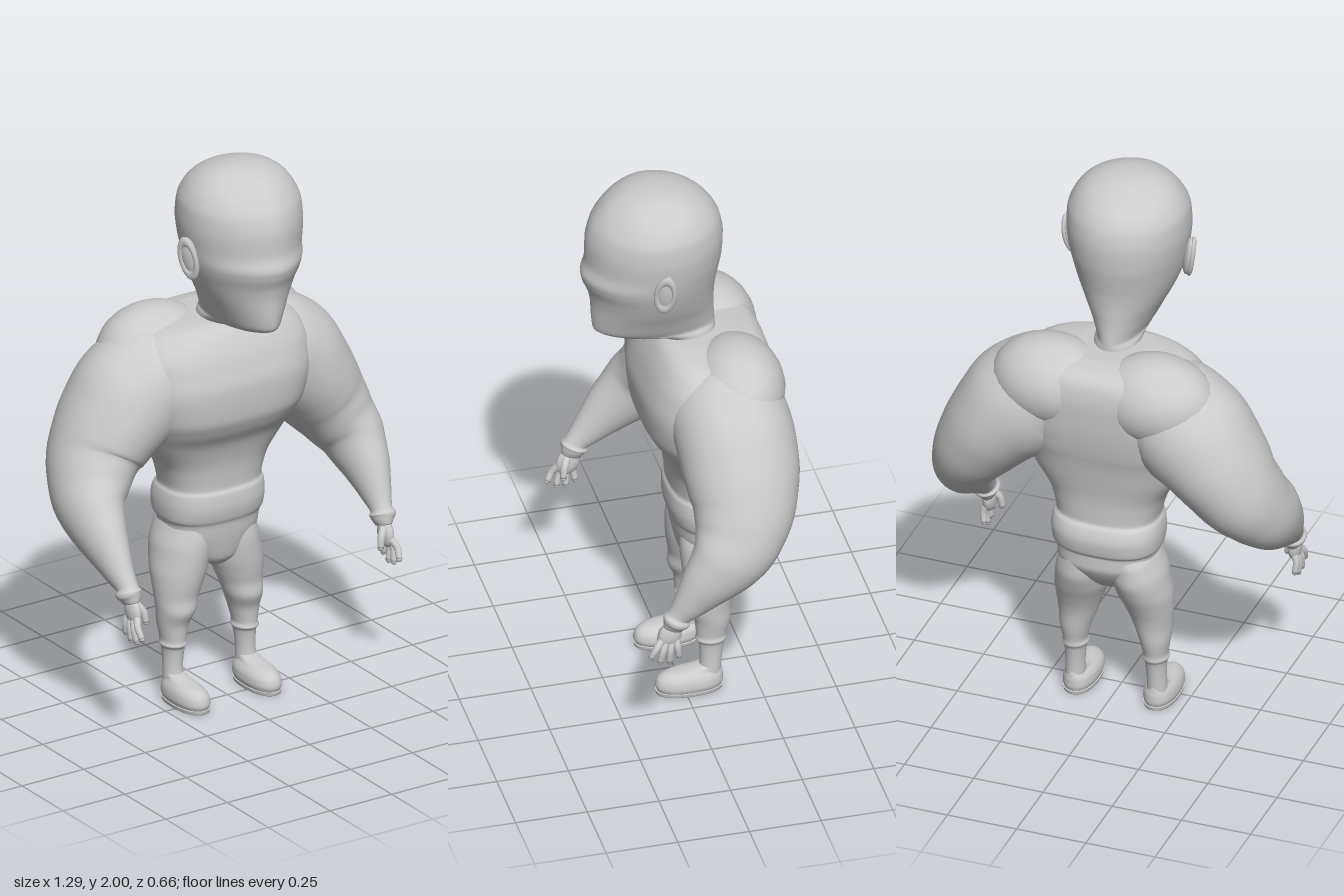
import * as THREE from 'three';

const material = new THREE.MeshStandardMaterial({ color: 0xcccccc });
const SEG = 40;

// Overshoot-free smoothing between key rows of numbers
function smoothRows(rows, steps = 5) {
  const slope = (i, k) => {
    if (i === 0) return rows[1][k] - rows[0][k];
    if (i === rows.length - 1) return rows[i][k] - rows[i - 1][k];
    const a = rows[i][k] - rows[i - 1][k], b = rows[i + 1][k] - rows[i][k];
    return a * b > 0 ? (2 * a * b) / (a + b) : 0;
  };
  const out = [];
  for (let i = 0; i < rows.length - 1; i++) {
    for (let s = 0; s < steps; s++) {
      const t = s / steps, t2 = t * t, t3 = t2 * t;
      out.push(rows[i].map((v, k) =>
        v * (2 * t3 - 3 * t2 + 1) + rows[i + 1][k] * (3 * t2 - 2 * t3) +
        slope(i, k) * (t3 - 2 * t2 + t) + slope(i + 1, k) * (t3 - t2)));
    }
  }
  out.push(rows[rows.length - 1]);
  return out;
}

// Skin over closed rings of points, with both ends capped
function skin(rings) {
  const pos = [], index = [], n = rings[0].length, last = rings.length - 1;
  rings.forEach(r => r.forEach(p => pos.push(p.x, p.y, p.z)));
  for (let i = 0; i < last; i++) {
    for (let j = 0; j < n; j++) {
      const a = i * n + j, b = i * n + (j + 1) % n;
      index.push(a, b, b + n, a, b + n, a + n);
    }
  }
  [0, last].forEach(i => {
    const c = new THREE.Vector3();
    rings[i].forEach(p => c.addScaledVector(p, 1 / n));
    const ci = pos.length / 3;
    pos.push(c.x, c.y, c.z);
    for (let j = 0; j < n; j++) {
      const a = i * n + j, b = i * n + (j + 1) % n;
      if (i === 0) index.push(ci, b, a); else index.push(ci, a, b);
    }
  });
  const g = new THREE.BufferGeometry();
  g.setAttribute('position', new THREE.Float32BufferAttribute(pos, 3));
  g.setIndex(index);
  g.computeVertexNormals();
  return g;
}

// Upright body from rows [y, centreX, halfWidth, frontZ, backZ, squareness]
function upright(rows, pinch = 1) {
  const bend = (v, e) => Math.sign(v) * Math.abs(v) ** e;
  return skin(smoothRows(rows).map(([y, cx, hx, zf, zb, square = 1]) =>
    Array.from({ length: SEG }, (_, j) => {
      const a = (j / SEG) * Math.PI * 2, s = Math.sin(a), c = Math.cos(a);
      return new THREE.Vector3(
        cx + hx * bend(s, c > 0 ? square * pinch : square), y,
        (zf + zb) / 2 + ((zf - zb) / 2) * bend(c, square));
    })));
}

// Limb along a path from rows [x, y, z, sideRadius, depthRadius]
function limb(rows) {
  const pts = smoothRows(rows);
  const at = i => new THREE.Vector3(...pts[Math.min(Math.max(i, 0), pts.length - 1)].slice(0, 3));
  return skin(pts.map((r, i) => {
    const t = at(i + 1).sub(at(i - 1)).normalize();
    const depth = new THREE.Vector3(0, 0, 1).addScaledVector(t, -t.z).normalize();
    const side = new THREE.Vector3().crossVectors(t, depth);
    return Array.from({ length: SEG }, (_, j) => {
      const a = (j / SEG) * Math.PI * 2;
      return at(i).addScaledVector(side, r[3] * Math.sin(a)).addScaledVector(depth, r[4] * Math.cos(a));
    });
  }));
}

function add(parent, name, geometry) {
  const m = new THREE.Mesh(geometry, material);
  m.name = name;
  parent.add(m);
  return m;
}

function ball(parent, name, pos, scale) {
  const m = add(parent, name, new THREE.SphereGeometry(1, 24, 16));
  m.position.set(...pos);
  m.scale.set(...scale);
  return m;
}

export function createModel() {
  const model = new THREE.Group();
  model.name = 'muscularFigure';

  // Head with jaw and neck
  add(model, 'head', upright([
    [1.30, 0, 0.08, 0.03, -0.13], [1.385, 0, 0.078, 0.05, -0.14], [1.41, 0, 0.08, 0.12, -0.14],
    [1.425, 0, 0.083, 0.24, -0.14], [1.45, 0, 0.096, 0.283, -0.138], [1.50, 0, 0.12, 0.29, -0.135],
    [1.55, 0, 0.146, 0.292, -0.135], [1.60, 0, 0.168, 0.3, -0.138], [1.65, 0, 0.186, 0.32, -0.146],
    [1.68, 0, 0.194, 0.326, -0.152], [1.73, 0, 0.203, 0.312, -0.16], [1.80, 0, 0.211, 0.31, -0.164],
    [1.86, 0, 0.208, 0.297, -0.155], [1.91, 0, 0.189, 0.267, -0.13], [1.95, 0, 0.158, 0.228, -0.09],
    [1.975, 0, 0.122, 0.188, -0.045], [1.99, 0, 0.083, 0.148, 0], [1.997, 0, 0.047, 0.113, 0.035],
    [2.0, 0, 0.004, 0.08, 0.07],
  ], 1.15));

  // Torso with belly, belt fold, chest and upper back
  add(model, 'torso', upright([
    [0.47, 0, 0.04, -0.04, -0.15, 0.9], [0.50, 0, 0.1, -0.014, -0.19, 0.9], [0.55, 0, 0.148, 0, -0.235, 0.85],
    [0.60, 0, 0.172, 0.01, -0.258, 0.8], [0.642, 0, 0.178, 0.016, -0.258, 0.8], [0.66, 0, 0.189, 0.024, -0.27, 0.8],
    [0.71, 0, 0.194, 0.033, -0.278, 0.8], [0.755, 0, 0.188, 0.03, -0.265, 0.8], [0.775, 0, 0.18, 0.022, -0.25, 0.8],
    [0.85, 0, 0.2, 0.03, -0.252, 0.8], [0.95, 0, 0.262, 0.06, -0.268, 0.78], [1.02, 0, 0.29, 0.105, -0.282, 0.74],
    [1.08, 0, 0.31, 0.13, -0.297, 0.7], [1.18, 0, 0.335, 0.138, -0.312, 0.7], [1.27, 0, 0.335, 0.118, -0.316, 0.7],
    [1.34, 0, 0.305, 0.088, -0.305, 0.72], [1.38, 0, 0.24, 0.06, -0.27, 0.75], [1.398, 0, 0.12, 0.03, -0.2, 0.8],
  ]));

  for (const s of [1, -1]) {
    const side = s > 0 ? 'left' : 'right';

    // Ear: leans back and flares outward at its rear edge
    const ear = new THREE.Group();
    ear.name = side + 'Ear';
    ear.position.set(s * 0.208, 1.695, 0.083);
    ear.rotation.set(-0.15, s * -0.4, s * -0.12, 'YXZ');
    model.add(ear);
    ball(ear, 'earBody', [0, 0, 0], [0.018, 0.076, 0.034]);
    const rim = add(ear, 'earRim', new THREE.TorusGeometry(0.03, 0.009, 10, 28));
    rim.position.x = s * 0.01;
    rim.rotation.y = Math.PI / 2;
    rim.scale.y = 2.1;

    // Trapezius
    ball(model, side + 'Trapezius', [s * 0.19, 1.27, -0.17], [0.21, 0.16, 0.16]);

    // Arm: the right one reaches slightly further forward
    const reach = s > 0 ? 0 : 0.075;
    add(model, side + 'Arm', limb([
      [0.14, 1.22, -0.115, 0.15, 0.17], [0.23, 1.195, -0.12, 0.195, 0.198], [0.31, 1.14, -0.13, 0.203, 0.204],
      [0.385, 1.06, -0.132, 0.18, 0.2], [0.45, 0.97, -0.125, 0.157, 0.182], [0.505, 0.88, -0.095, 0.131, 0.158],
      [0.54, 0.8, -0.042, 0.105, 0.13], [0.546, 0.72, 0.028, 0.077, 0.096], [0.544, 0.65, 0.085, 0.052, 0.064],
      [0.54, 0.6, 0.125, 0.037, 0.042], [0.54, 0.585, 0.132, 0.046, 0.048], [0.538, 0.57, 0.138, 0.038, 0.042],
      [0.537, 0.55, 0.145, 0.025, 0.035],
    ].map(([x, y, z, a, b]) => [s * x, y, z + reach * Math.min(1, Math.max(0, (0.95 - y) / 0.35)), a, b])));

    // Hand
    const hand = new THREE.Group();
    hand.name = side + 'Hand';
    hand.position.set(s * 0.537, 0.53, 0.15 + reach);
    model.add(hand);
    const palm = ball(hand, 'palm', [0, -0.005, 0.005], [0.022, 0.052, 0.04]);
    palm.rotation.x = -0.35;
    const digit = (name, path, r) => {
      const rows = path.map(([x, y, z], i) => [s * x, y, z, r * (1 - 0.1 * i), r * (1 - 0.1 * i)]);
      add(hand, name, limb(rows));
      const [x, y, z] = path[path.length - 1];
      ball(hand, name + 'Tip', [s * x, y, z], [r * 0.8, r * 0.8, r * 0.8]);
    };
    for (let i = 0; i < 4; i++) {
      const spread = i - 1.5;
      const len = [0.085, 0.105, 0.1, 0.075][i];
      digit('finger' + (i + 1), [
        [0, -0.015, spread * 0.015 + 0.008],
        [0.014, -0.015 - len * 0.45, spread * 0.025 + 0.02],
        [0.01, -0.015 - len * 0.88, spread * 0.032 + 0.026],
      ], 0.013);
    }
    digit('thumb', [[-0.01, 0.02, 0.01], [-0.03, -0.01, 0.025], [-0.036, -0.045, 0.03]], 0.014);

    // Leg with hip, knee and trouser cuff
    const leg = new THREE.Group();
    leg.name = side + 'Leg';
    leg.position.x = -0.014;
    model.add(leg);
    add(leg, 'legBody', upright([
      [0.04, 0.148, 0.036, -0.045, -0.125], [0.12, 0.147, 0.034, -0.055, -0.13],
      [0.185, 0.145, 0.039, -0.05, -0.14], [0.2, 0.145, 0.046, -0.04, -0.148],
      [0.215, 0.145, 0.042, -0.043, -0.148], [0.27, 0.143, 0.053, -0.038, -0.16],
      [0.33, 0.135, 0.067, -0.015, -0.168], [0.37, 0.13, 0.075, -0.018, -0.178], [0.42, 0.122, 0.086, -0.01, -0.198],
      [0.48, 0.11, 0.096, -0.002, -0.226], [0.55, 0.098, 0.096, 0.002, -0.248], [0.61, 0.09, 0.082, -0.004, -0.248],
      [0.68, 0.08, 0.06, -0.03, -0.2],
    ].map(([y, cx, ...r]) => [y, s * cx, ...r])));

    // Shoe with a thin sole
    add(leg, 'shoe', upright([
      [0.014, 0.145, 0.054, 0.095, -0.13, 0.88], [0.03, 0.145, 0.058, 0.1, -0.134, 0.88],
      [0.05, 0.145, 0.056, 0.096, -0.134, 0.9], [0.066, 0.146, 0.049, 0.084, -0.132, 0.95],
      [0.078, 0.147, 0.039, 0.058, -0.13, 1], [0.086, 0.147, 0.034, 0, -0.128, 1],
      [0.097, 0.147, 0.031, -0.055, -0.125, 1],
    ].map(([y, cx, ...r]) => [y, s * cx, ...r])));
    add(leg, 'sole', upright([
      [0, s * 0.145, 0.055, 0.097, -0.132, 0.88], [0.014, s * 0.145, 0.058, 0.1, -0.135, 0.88],
    ]));
  }
  return model;
}
